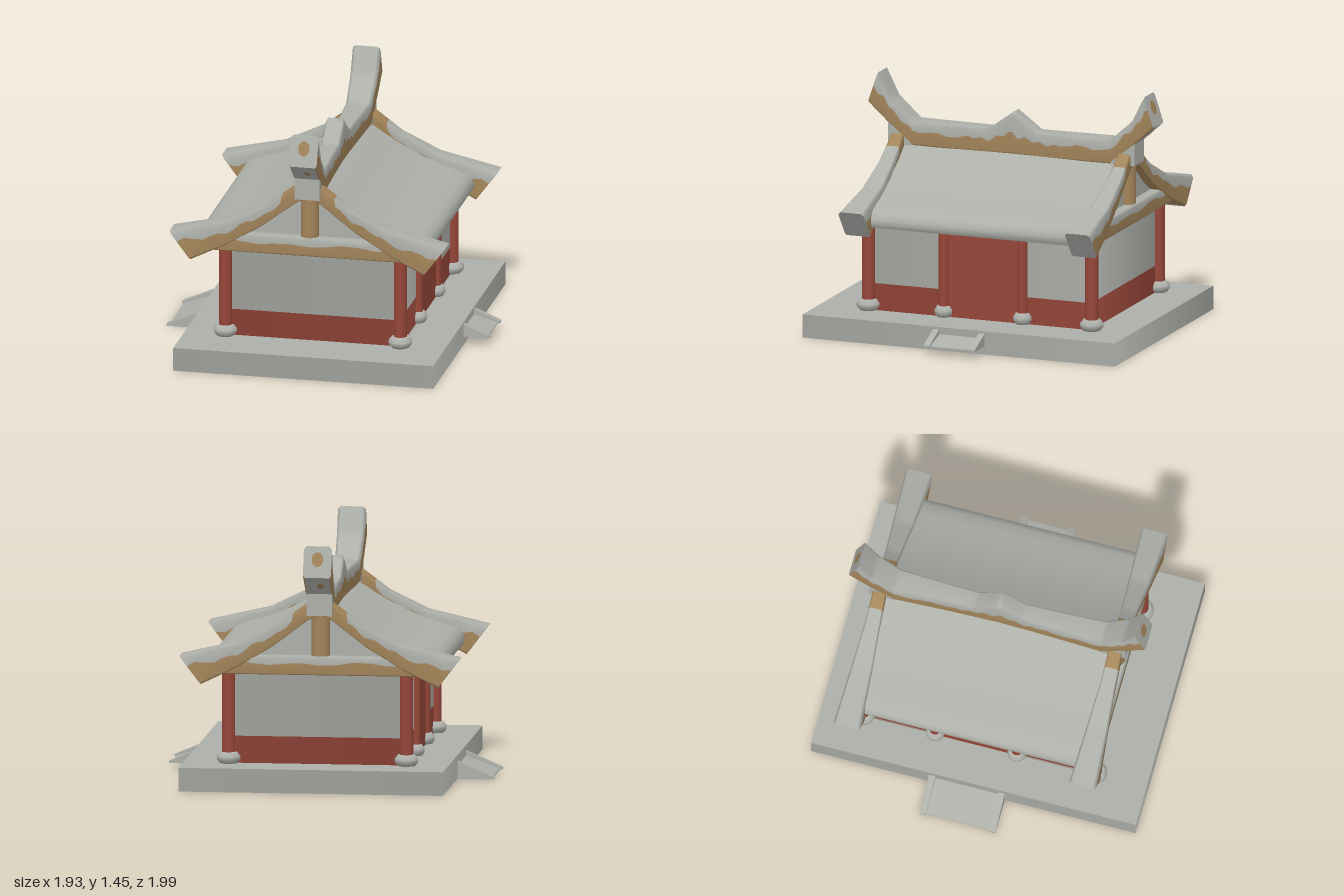
import * as THREE from 'three';
import { toCreasedNormals } from 'three/addons/utils/BufferGeometryUtils.js';

const mat = (name, color) => new THREE.MeshStandardMaterial({ name, color, side: THREE.DoubleSide });
const stone = mat('stone grey', 0xadafa9);
const red = mat('painted red', 0x964639);
const wood = mat('bare wood', 0xa3855a);

function add(parent, name, geometry, material, x = 0, y = 0, z = 0) {
  const mesh = new THREE.Mesh(geometry, material);
  mesh.name = name;
  mesh.position.set(x, y, z);
  parent.add(mesh);
  return mesh;
}

// Mirrors half a list of stations [lowX, lowY, topX, topY, halfWidth, seam] (outermost first) about x = 0
function symmetric(half, centre) {
  const left = half.map(([a, b, c, ...rest]) => [-a, b, -c, ...rest]);
  return [...left, centre, ...half.slice().reverse()];
}

// Sweeps a softened rectangle along x; the sides below the wavy seam are wood, the rest stone.
// bottomWood and topWood give how far from the middle the underside and top are wood.
function sweep(stations, wave, bottomWood, topWood) {
  const pos = [], grey = [], brown = [], steps = 6, n = 10;
  const rows = [];
  for (let i = 0; i < stations.length - 1; i++)
    for (let k = 0; k < steps; k++)
      rows.push(stations[i].map((v, j) => THREE.MathUtils.lerp(v, stations[i + 1][j], k / steps)));
  rows.push(stations[stations.length - 1]);
  const rings = rows.map(([lx, ly, ux, uy, w, seam], i) => {
    const s = seam + wave * (Math.sin(i * 1.7) + 0.6 * Math.sin(i * 0.8 + 1));
    const side = [[0.8, 1], [1, 0.9], [1, s], [1, 0.07], [0.88, 0]];
    const section = [...side, ...side.slice().reverse().map(([a, t]) => [-a, t])];
    return section.map(([a, t]) => [lx + (ux - lx) * t, ly + (uy - ly) * t, a * w]);
  });
  rings.forEach(r => r.forEach(p => pos.push(...p)));
  for (let i = 0; i < rings.length - 1; i++)
    for (let j = 0; j < n; j++) {
      const a = i * n + j, b = i * n + (j + 1) % n, c = a + n, d = b + n;
      const reach = Math.abs(rows[i][0] + rows[i + 1][0]) / 2;
      const isWood = [2, 3, 5, 6].includes(j) || (j === 4 ? reach < bottomWood : reach < topWood);
      (isWood ? brown : grey).push(a, b, c, b, d, c);
    }
  // end caps
  [rings[0], rings[rings.length - 1]].forEach((ring, end) => {
    const o = pos.length / 3;
    ring.forEach(p => pos.push(...p));
    for (let k = 1; k < n - 1; k++) grey.push(o, ...(end ? [o + k, o + k + 1] : [o + k + 1, o + k]));
  });
  const g = new THREE.BufferGeometry();
  g.setAttribute('position', new THREE.Float32BufferAttribute(pos, 3));
  g.setIndex([...grey, ...brown]);
  g.addGroup(0, grey.length, 0);
  g.addGroup(grey.length, brown.length, 1);
  g.computeVertexNormals();
  return g;
}

function shapeOf(points) {
  return new THREE.Shape(points.map(([x, y]) => new THREE.Vector2(x, y)));
}

function extrude(shape, depth) {
  return new THREE.ExtrudeGeometry(shape, { depth, bevelEnabled: false });
}

function rect(x, z) {
  return [[-x, -z], [x, -z], [x, z], [-x, z]];
}

// Four upright faces around a rectangle, open above and below
function enclosure(width, height, depth) {
  const g = new THREE.CylinderGeometry(Math.SQRT1_2, Math.SQRT1_2, height, 4, 1, true, Math.PI / 4);
  return g.scale(width, 1, depth);
}

// Column with its rounded foot
function column(parent, x, z, r) {
  const g = new THREE.Group();
  g.name = 'column';
  g.position.set(x, 0.14, z);
  add(g, 'columnShaft', new THREE.CylinderGeometry(r, r, 0.57, 16), red, 0, 0.285, 0);
  const f = r * 1.78;
  const profile = [[0, 0], [f * 0.75, 0], [f, 0.022], [f, 0.042], [f * 0.72, 0.066], [0, 0.068]];
  add(g, 'columnFoot', new THREE.LatheGeometry(profile.map(p => new THREE.Vector2(...p)), 16), stone);
  parent.add(g);
}

// Side ramp: a thin sloping slab between two cheeks
function ramp(parent, xIn, xOut, yTop, yLow, z0, z1) {
  const g = new THREE.Group();
  g.name = 'ramp';
  const t = 0.038, xr = xOut - Math.sign(xOut) * 0.013;
  const cheek = [[xIn, yLow], [xOut, yLow], [xOut, yLow + 0.012], [xIn, yTop]];
  const slope = [[xIn, yTop - 0.045], [xr, yLow], [xr, yLow + 0.006], [xIn, yTop - 0.03]];
  const order = pts => (xOut < 0 ? pts.slice().reverse() : pts);
  for (const z of [z0, z1 - t]) add(g, 'rampCheek', extrude(shapeOf(order(cheek)), t), stone, 0, 0, z);
  add(g, 'rampSlope', extrude(shapeOf(order(slope)), z1 - z0 - t), stone, 0, 0, z0 + t / 2);
  parent.add(g);
}

export function createModel() {
  const model = new THREE.Group();
  model.name = 'hall';
  model.rotation.y = -0.013;

  // Platform: a hollow plinth, its top open under the room
  const deck = shapeOf(rect(0.78, 0.985));
  deck.holes.push(new THREE.Path([[-0.54, -0.67], [0.52, -0.67], [0.52, 0.73], [-0.54, 0.73]]
    .map(([x, y]) => new THREE.Vector2(x + 0.0, y))));
  add(model, 'platformTop', new THREE.ShapeGeometry(deck).rotateX(-Math.PI / 2), stone, 0.03, 0.14, 0);
  add(model, 'platformSides', enclosure(1.56, 0.14, 1.97), stone, 0.03, 0.07, 0);
  ramp(model, -0.74, -0.965, 0.11, 0, -0.27, 0.19);
  ramp(model, 0.8, 0.965, 0.13, 0.05, -0.165, 0.16);

  // Room: double-skinned walls with a red lower band, doors and columns
  const room = new THREE.Group();
  room.name = 'room';
  room.position.set(0.02, 0, -0.03);
  model.add(room);
  for (const [w, d] of [[1.04, 1.4], [0.98, 1.34]]) {
    add(room, 'wallBand', enclosure(w, 0.165, d), red, 0, 0.2175, 0);
    add(room, 'wall', enclosure(w, 0.43, d), stone, 0, 0.515, 0);
  }
  for (const s of [-1, 1]) {
    add(room, 'door', new THREE.BoxGeometry(0.05, 0.59, 0.49), red, s * 0.506, 0.435, -0.02);
    for (const z of [-0.705, 0.705]) column(room, s * 0.525, z, 0.039);
    for (const z of [-0.268, 0.228]) column(room, s * 0.525, z, 0.031);
  }

  // Roof shell, curved down to rounded eaves
  const roof = new THREE.Group();
  roof.name = 'roof';
  roof.position.set(0, 0, -0.037);
  model.add(roof);
  const top = [[0.08, 1.02], [0.16, 0.968], [0.24, 0.922], [0.35, 0.868], [0.46, 0.825], [0.56, 0.795],
    [0.64, 0.772], [0.672, 0.75], [0.688, 0.718], [0.688, 0.69], [0.675, 0.668]];
  const under = [[0.6, 0.69], [0.46, 0.755], [0.24, 0.86], [0.08, 0.96]];
  const right = [...under.slice().reverse(), ...top.slice().reverse()];
  const mirror = right.slice().reverse().map(([x, y]) => [-x, y]);
  const shell = [...right, [0, 1.05], ...mirror];
  add(roof, 'roofShell', toCreasedNormals(extrude(shapeOf(shell), 1.4), 0.7), stone, 0, 0, -0.7);

  // Ridge beam with upswept horns and a central peak
  const ridge = symmetric([
    [0.9, 1.27, 0.84, 1.45, 0.083, 0.55], [0.78, 1.16, 0.76, 1.295, 0.08, 0.68],
    [0.63, 1.03, 0.62, 1.17, 0.074, 0.6], [0.3, 1.025, 0.3, 1.17, 0.06, 0.56],
    [0.15, 1.025, 0.15, 1.17, 0.056, 0.56],
  ], [0, 1.025, 0, 1.28, 0.056, 0.5]);
  add(roof, 'ridge', sweep(ridge, 0.06, 0, 0).rotateY(-Math.PI / 2), [stone, wood]);

  // Gable ends, the same at front and back
  const bargeStations = symmetric([
    [0.7, 0.615, 0.825, 0.78, 0.08, 0.6], [0.5, 0.71, 0.465, 0.865, 0.062, 0.56],
    [0.28, 0.84, 0.236, 0.978, 0.046, 0.56], [0.07, 1.0, 0.08, 1.095, 0.04, 0.6],
  ], [0, 1.03, 0, 1.1, 0.04, 0.6]);
  const barge = sweep(bargeStations, 0.07, 0.67, 0.16);
  const beam = sweep([[-0.6, 0.675, -0.6, 0.785, 0.05, 0.6], [0, 0.675, 0, 0.785, 0.05, 0.6],
    [0.6, 0.675, 0.6, 0.785, 0.05, 0.6]], 0.08, 1, 0);
  const infill = new THREE.ShapeGeometry(shapeOf([[-0.6, 0.7], [0.6, 0.7], [0.46, 0.8], [0.24, 0.9],
    [0, 1.04], [-0.24, 0.9], [-0.46, 0.8]]));
  for (const turn of [0, Math.PI]) {
    const gable = new THREE.Group();
    gable.name = 'gable';
    gable.rotation.y = turn;
    roof.add(gable);
    add(gable, 'bargeRidge', barge, [stone, wood], 0, 0, 0.715);
    add(gable, 'gableBeam', beam, [stone, wood], 0, 0, 0.715);
    add(gable, 'gableInfill', infill, stone, 0, 0, 0.702);
    add(gable, 'kingPost', new THREE.CylinderGeometry(0.055, 0.055, 0.3, 16), wood, 0, 0.89, 0.7);

    // stone block filling the corner under the horn
    const corner = shapeOf([[0.62, 1.028], [0.778, 1.028], [0.778, 1.17], [0.74, 1.17]]);
    add(gable, 'ridgeEndBlock', extrude(corner, 0.15).rotateY(-Math.PI / 2), stone, 0.075, 0, 0);

    // worn patches on the horn tip and beneath it
    const tip = add(gable, 'hornPatch', new THREE.CircleGeometry(0.035, 10), wood, 0, 1.375, 0.869);
    tip.rotation.x = -0.32;
    tip.scale.y = 1.3;
    const below = add(gable, 'hornPatch', new THREE.CircleGeometry(0.02, 10), wood, 0.015, 1.212, 0.843);
    below.rotation.x = 0.83;
    below.scale.y = 1.4;
  }
  return model;
}
